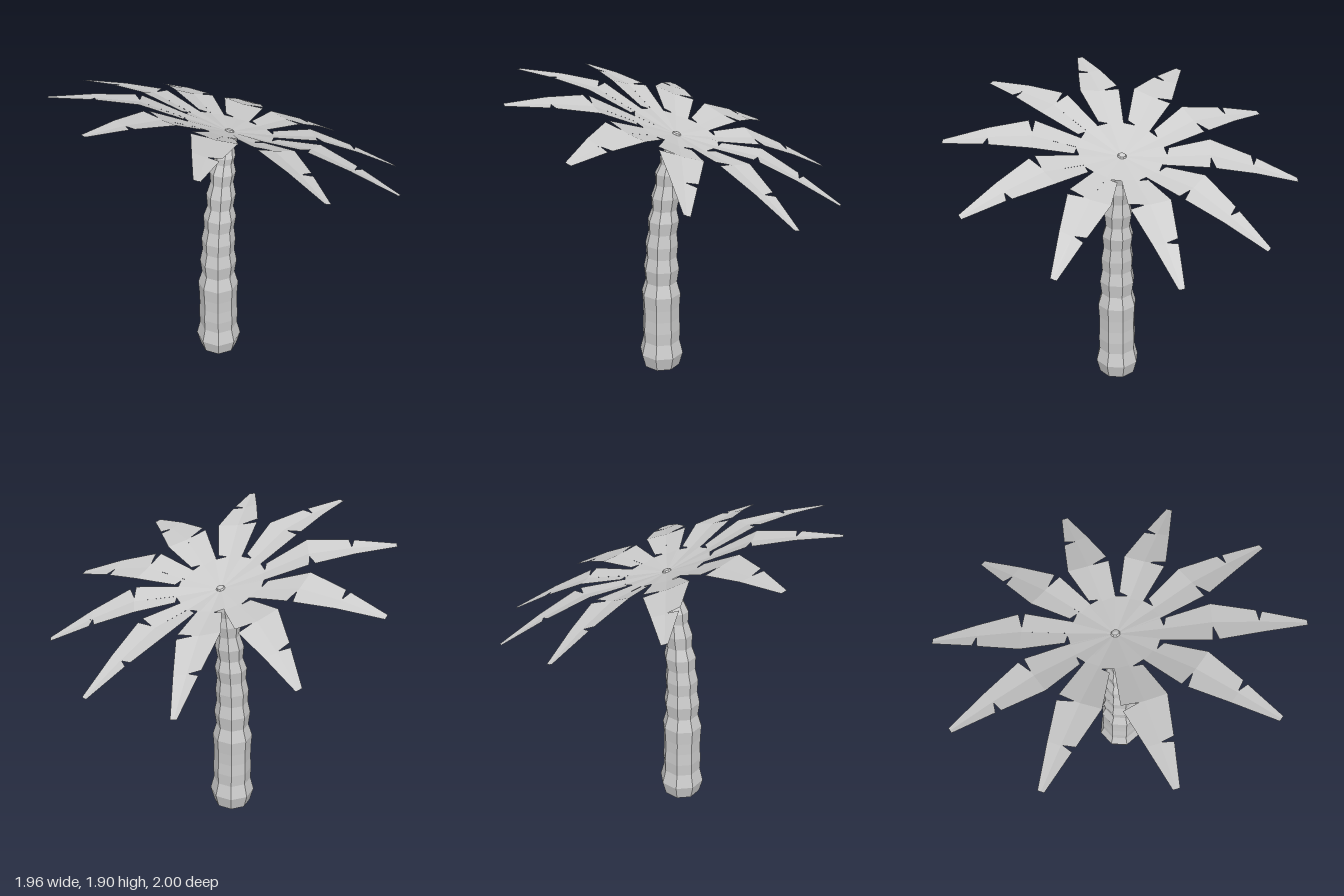
import * as THREE from 'three';

const material = new THREE.MeshStandardMaterial({ color: 0xcccccc, flatShading: true });
const leafMaterial = new THREE.MeshStandardMaterial({ color: 0xcccccc, flatShading: true, side: THREE.DoubleSide });

// Linear lookup in a list of [key, value] pairs
function lookup(table, t) {
  for (let i = 1; i < table.length; i++) {
    const [t0, v0] = table[i - 1], [t1, v1] = table[i];
    if (t <= t1) return v0 + (v1 - v0) * (t - t0) / (t1 - t0);
  }
  return table[table.length - 1][1];
}

// Ringed eight-sided trunk, leaning toward the crown
function makeTrunk() {
  const profile = [
    [0, 0], [0.118, 0.03], [0.142, 0.12], [0.12, 0.21], [0.124, 0.29], [0.119, 0.37], [0.12, 0.45],
    [0.126, 0.54], [0.102, 0.62], [0.114, 0.71], [0.098, 0.79], [0.104, 0.87], [0.09, 0.95],
    [0.099, 1.03], [0.078, 1.1], [0.088, 1.18], [0.068, 1.26], [0.077, 1.33], [0.057, 1.39],
    [0.062, 1.43], [0.046, 1.48], [0.055, 1.51], [0.046, 1.56], [0, 1.58],
  ].map(([r, y]) => new THREE.Vector2(r, y));
  const lean = [[0, -0.1], [0.54, -0.1], [0.87, -0.094], [1.03, -0.082], [1.18, -0.07],
    [1.33, -0.055], [1.43, -0.038], [1.51, -0.016], [1.58, -0.005]];
  const geometry = new THREE.LatheGeometry(profile, 8);
  const p = geometry.attributes.position;
  for (let i = 0; i < p.count; i++) p.setX(i, p.getX(i) + lookup(lean, p.getY(i)));
  geometry.computeVertexNormals();
  const mesh = new THREE.Mesh(geometry, material);
  mesh.name = 'trunk';
  return mesh;
}

// Height of the midrib along a leaf, and the tilt of the whole crown toward +x
const arch = [[0, 1.57], [0.25, 1.6], [0.5, 1.645], [0.75, 1.61], [1, 1.555]];
const TILT = 0.355;

// Leaf edges as [distance, half width]; the narrow points are slits
const edges = {
  1: [[0, 0], [0.24, 0.08], [0.49, 0.122], [0.5, 0.03], [0.525, 0.12], [0.75, 0.073], [1, 0.018]],
  [-1]: [[0, 0], [0.235, 0.085], [0.255, 0.02], [0.265, 0.07], [0.5, 0.122], [0.735, 0.076],
    [0.745, 0.01], [0.765, 0.068], [1, 0.018]],
};

function makeLeaf(tipX, tipZ) {
  const length = Math.hypot(tipX, tipZ), dx = tipX / length, dz = tipZ / length;
  const positions = [];
  const point = (u, v) => {
    const x = u * length * dx - v * dz, z = u * length * dz + v * dx;
    return [x, lookup(arch, u) - TILT * x + 0.1 * Math.abs(v), z];
  };
  for (const side of [1, -1]) {
    const edge = edges[side];
    for (let i = 1; i < edge.length; i++) {
      const [u0, w0] = edge[i - 1], [u1, w1] = edge[i];
      const a = point(u0, 0), b = point(u1, 0), c = point(u1, side * w1), d = point(u0, side * w0);
      const tris = side > 0 ? [a, c, b, a, d, c] : [a, b, c, a, c, d];
      tris.forEach((q) => positions.push(...q));
    }
  }
  const geometry = new THREE.BufferGeometry();
  geometry.setAttribute('position', new THREE.Float32BufferAttribute(positions, 3));
  geometry.computeVertexNormals();
  const mesh = new THREE.Mesh(geometry, leafMaterial);
  mesh.name = 'leaf';
  return mesh;
}

export function createModel() {
  const model = new THREE.Group();
  model.name = 'palmTree';
  model.add(makeTrunk());

  // Crown of ten leaves, placed by their tips
  const crown = new THREE.Group();
  crown.name = 'crown';
  const tips = [[0.975, 0], [0.79, 0.62], [0.29, 0.995], [-0.31, 0.985], [-0.805, 0.595],
    [-0.98, -0.03], [-0.765, -0.645], [-0.265, -0.995], [0.345, -0.97], [0.815, -0.565]];
  for (const [x, z] of tips) crown.add(makeLeaf(x, z));
  model.add(crown);

  // Bud at the middle of the crown
  const bud = new THREE.Mesh(new THREE.SphereGeometry(0.03, 8, 4), material);
  bud.name = 'bud';
  bud.scale.y = 0.6;
  bud.rotation.z = -Math.atan(TILT);
  bud.position.set(0, 1.57, 0);
  model.add(bud);
  return model;
}
